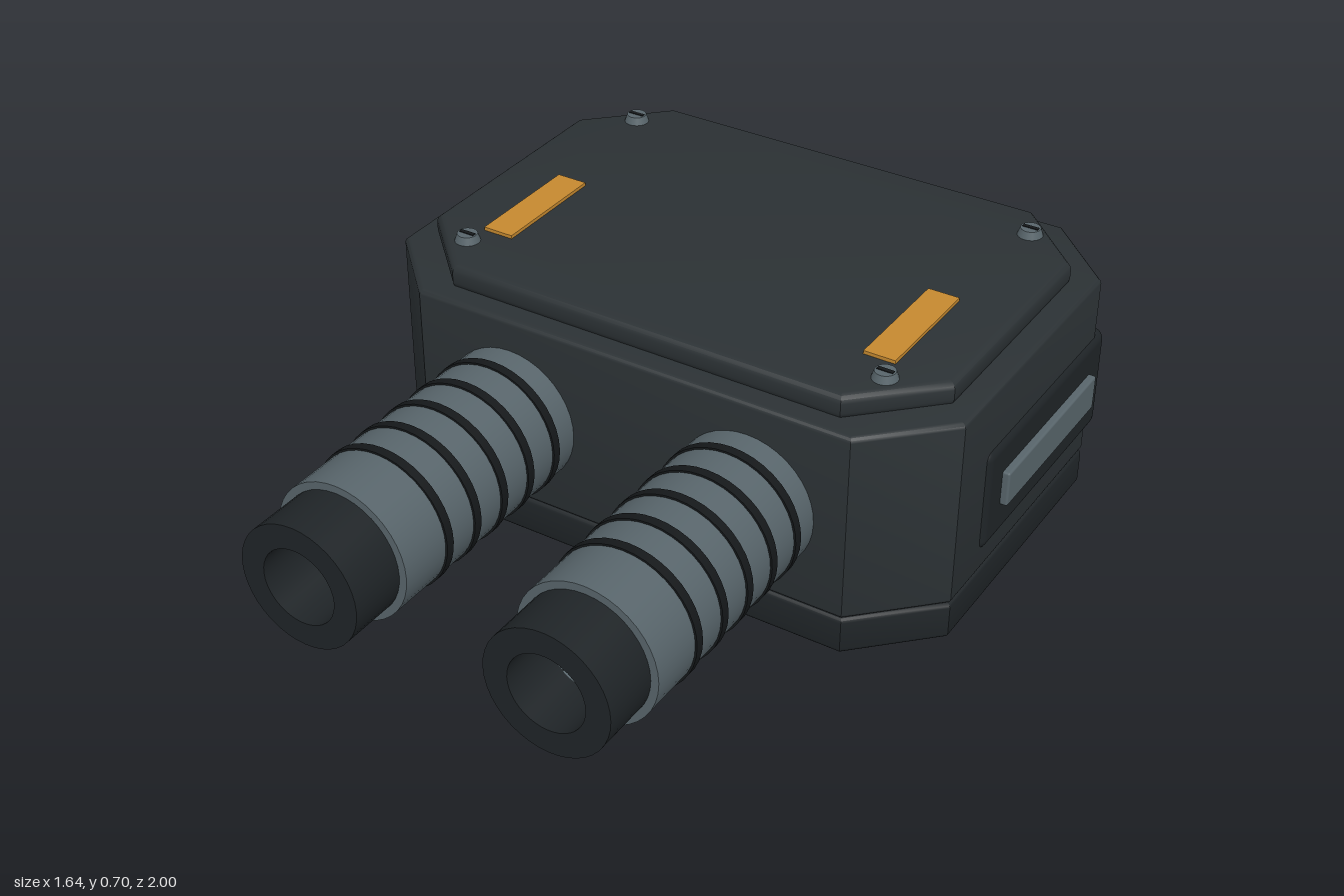
import * as THREE from 'three';
import { toCreasedNormals } from 'three/addons/utils/BufferGeometryUtils.js';
import { RoundedBoxGeometry } from 'three/addons/geometries/RoundedBoxGeometry.js';

const mat = (color) => new THREE.MeshStandardMaterial({ color });
const shell = mat(0x2b3134), dark = mat(0x1f2427), black = mat(0x15181a);
const steel = mat(0x58656b), amber = mat(0xc58930), copper = mat(0xa0703c);

export function createModel() {
  const model = new THREE.Group();

  const add = (name, geometry, material, x = 0, y = 0, z = 0, parent = model) => {
    const mesh = new THREE.Mesh(geometry, material);
    mesh.name = name;
    mesh.position.set(x, y, z);
    parent.add(mesh);
    return mesh;
  };

  // Eight-sided slab with softened edges, from y0 to y1
  const slab = (hx, hz, c, y0, y1, b) => {
    const shape = new THREE.Shape([
      [hx - c, -hz], [hx, -hz + c], [hx, hz - c], [hx - c, hz],
      [-hx + c, hz], [-hx, hz - c], [-hx, -hz + c], [-hx + c, -hz],
    ].map(([x, y]) => new THREE.Vector2(x, y)));
    const g = new THREE.ExtrudeGeometry(shape, {
      depth: y1 - y0 - 2 * b, bevelThickness: b, bevelSize: b, bevelOffset: -b, bevelSegments: 3,
    });
    g.rotateX(-Math.PI / 2).translate(0, y0 + b, 0);
    return toCreasedNormals(g, 0.6);
  };

  // Housing
  const cz = -0.38;
  add('basePlate', slab(0.79, 0.567, 0.19, 0, 0.104, 0.013), dark, 0, 0, cz);
  add('housing', slab(0.79, 0.567, 0.19, 0.104, 0.618, 0.013), shell, 0, 0, cz);
  add('lid', slab(0.73, 0.508, 0.19, 0.61, 0.675, 0.02), shell, 0, 0, cz);

  // Hollow body of revolution lying along z: closed ring profile of [radius, z]
  const pipe = (outer, inner, z0, z1) => {
    const pts = [[inner, z0], [outer, z0], [outer, z1], [inner, z1], [inner, z0]];
    const g = new THREE.LatheGeometry(pts.map(([r, z]) => new THREE.Vector2(r, z)), 40);
    return toCreasedNormals(g.rotateX(Math.PI / 2), 0.6);
  };

  // Two ribbed cable sleeves at the front
  for (const s of [-1, 1]) {
    const sleeve = new THREE.Group();
    sleeve.name = s > 0 ? 'leftSleeve' : 'rightSleeve';
    sleeve.position.set(s * 0.333, 0.35, 0);
    model.add(sleeve);
    add('sleeveTube', pipe(0.183, 0.1, 0.17, 0.848), steel, 0, 0, 0, sleeve);
    add('sleeveTip', pipe(0.163, 0.1, 0.84, 1), dark, 0, 0, 0, sleeve);
    for (let i = 0; i < 5; i++) {
      const z = 0.265 + i * 0.1065;
      add('sleeveBand', pipe(0.188, 0.17, z - 0.012, z + 0.012), black, 0, 0, 0, sleeve);
    }
  }

  // Side panels with a steel bar, and marker strips on the lid
  for (const s of [-1, 1]) {
    add('sidePanel', new RoundedBoxGeometry(0.07, 0.29, 0.675, 3, 0.03), dark, s * 0.765, 0.31, -0.473);
    add('sideBar', new RoundedBoxGeometry(0.05, 0.096, 0.505, 2, 0.006), steel, s * 0.794, 0.312, -0.473);
    add('lidStrip', new THREE.BoxGeometry(0.083, 0.02, 0.328), amber, s * 0.537, 0.674, -0.223);
  }

  // Slotted screws at the lid corners
  for (const x of [-0.585, 0.585]) {
    for (const z of [-0.77, 0.003]) {
      add('screwHead', new THREE.CylinderGeometry(0.026, 0.034, 0.024, 20), steel, x, 0.683, z);
      add('screwSlot', new THREE.BoxGeometry(0.042, 0.006, 0.011), black, x, 0.694, z);
    }
  }

  // Rear connector with a row of contacts
  add('connectorPlate', new RoundedBoxGeometry(1.02, 0.176, 0.06, 3, 0.012), dark, 0, 0.298, -0.955);
  for (let i = 0; i < 8; i++) {
    add('contactPin', new THREE.BoxGeometry(0.053, 0.098, 0.03), copper, (i - 3.5) * 0.1025, 0.298, -0.985);
  }
  return model;
}
